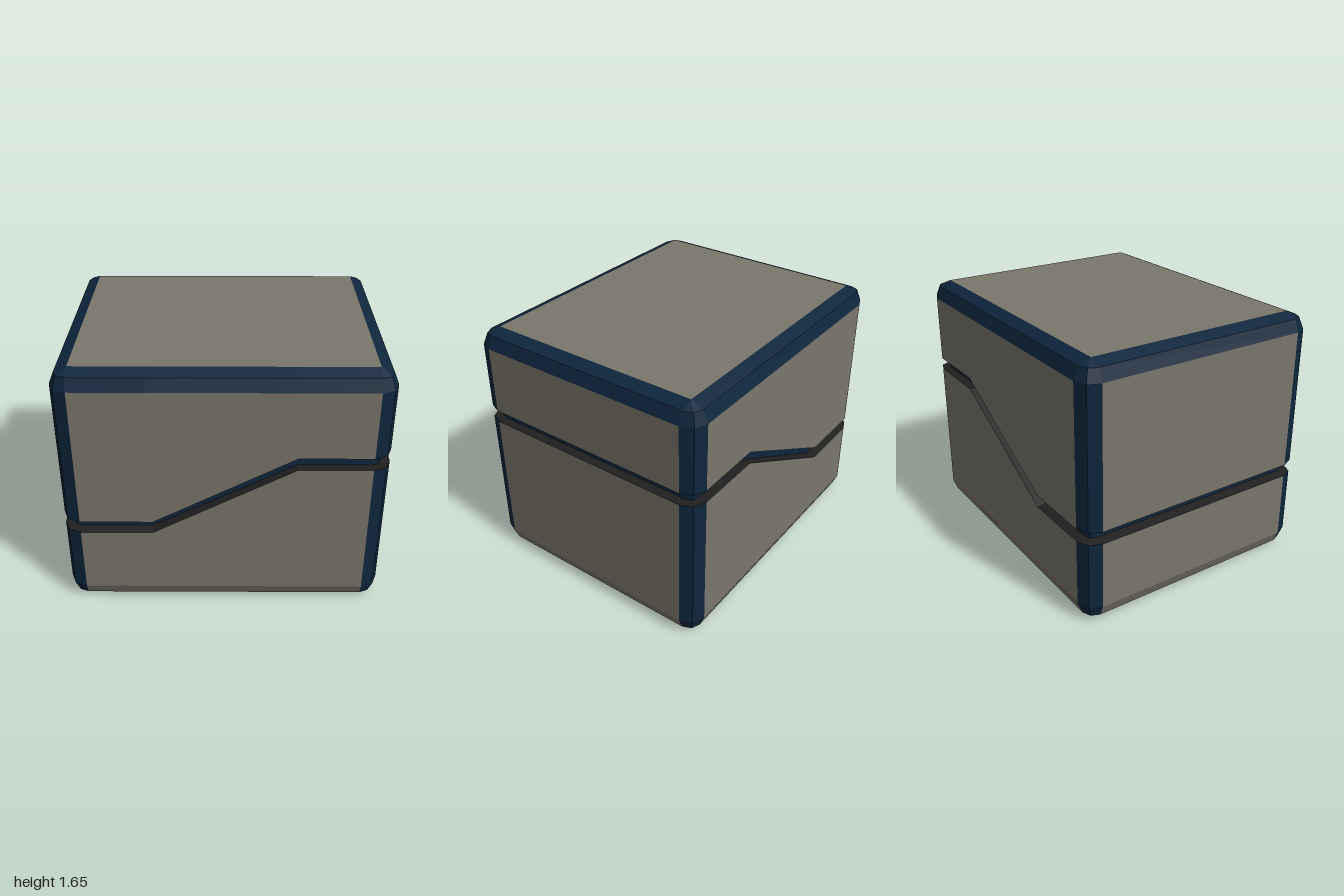
import * as THREE from 'three';

const HX = 0.89, HZ = 0.71, R = 0.11, H = 1.65, KINK = 0.44;
const GREY = 0, NAVY = 1, BLACK = 2;

// Rounded rectangle seen from above: each point is a centre plus a direction to push along
function outline() {
  const pts = [];
  [[1, 1], [-1, 1], [-1, -1], [1, -1]].forEach(([sx, sz], k) => {
    for (let i = 0; i < 3; i++) {
      const a = (k * 2 + i) * Math.PI / 4;
      pts.push({ x: sx * HX, z: sz * HZ, dx: Math.cos(a), dz: Math.sin(a), corner: i < 2, k });
    }
    // Where the groove bends on the front and back
    if (k % 2 === 0) for (const s of [sx, -sx])
      pts.push({ x: s * KINK, z: sz * HZ, dx: 0, dz: sz, corner: false, k });
  });
  return pts;
}
const PTS = outline();

// Groove path: 0 on the low side, 1 on the high side
const rise = p => THREE.MathUtils.clamp((p.x + KINK) / (2 * KINK), 0, 1);
const lowEdge = p => 0.55 + 0.47 * rise(p);
const highEdge = p => 0.63 + 0.47 * rise(p);

// Joins rings of { r, y(p) } from bottom to top; colour(p, band) picks the material of each face
function loft(name, rings, colour, materials, caps = {}) {
  const buckets = [[], [], []];
  const at = (ring, p) => new THREE.Vector3(p.x + p.dx * ring.r, ring.y(p), p.z + p.dz * ring.r);
  const tri = (m, a, b, c) => {
    const area = b.clone().sub(a).cross(c.clone().sub(a)).length();
    if (area > 1e-7) for (const v of [a, b, c]) buckets[m].push(v.x, v.y, v.z);
  };
  PTS.forEach((p, i) => {
    const q = PTS[(i + 1) % PTS.length];
    for (let b = 0; b < rings.length - 1; b++) {
      const m = colour(p, b);
      const a0 = at(rings[b], p), a1 = at(rings[b], q);
      const b0 = at(rings[b + 1], p), b1 = at(rings[b + 1], q);
      tri(m, a0, b0, b1);
      tri(m, a0, b1, a1);
    }
    const first = rings[0], last = rings[rings.length - 1];
    if (caps.bottom) tri(GREY, new THREE.Vector3(0, first.y(p), 0), at(first, p), at(first, q));
    if (caps.top) tri(GREY, new THREE.Vector3(0, last.y(p), 0), at(last, q), at(last, p));
  });
  const geo = new THREE.BufferGeometry();
  geo.setAttribute('position', new THREE.Float32BufferAttribute(buckets.flat(), 3));
  let start = 0;
  buckets.forEach((b, m) => {
    if (b.length) geo.addGroup(start, b.length / 3, m);
    start += b.length / 3;
  });
  geo.computeVertexNormals();
  const mesh = new THREE.Mesh(geo, materials);
  mesh.name = name;
  return mesh;
}

export function createModel() {
  const group = new THREE.Group();
  group.name = 'splitBlock';
  const mat = (name, color) => {
    const m = new THREE.MeshStandardMaterial({ color });
    m.name = name;
    return m;
  };
  const materials = [mat('warmGrey', 0x7a766b), mat('navyTrim', 0x0e263c), mat('blackLedge', 0x202020)];

  const r45 = R * Math.SQRT1_2, drop = R - r45, core = 0.05;

  // Lower half: grey bottom bevel, navy corner posts, black ledge into the groove
  group.add(loft('lowerShell', [
    { r: 0, y: () => 0 },
    { r: r45, y: () => drop },
    { r: R, y: () => R },
    { r: R, y: lowEdge },
    { r: core, y: p => lowEdge(p) + 0.012 * (1 - rise(p)) },
  ], (p, band) => {
    if (band === 3) return BLACK;
    if (!p.corner) return GREY;
    return band === 0 && p.k === 3 ? GREY : NAVY;
  }, materials, { bottom: true }));

  // Upper half: black ledge, navy corner posts and top bevel, grey panels
  group.add(loft('upperShell', [
    { r: core, y: p => highEdge(p) - 0.012 * rise(p) },
    { r: R, y: highEdge },
    { r: R, y: () => H - R },
    { r: r45, y: () => H - drop },
    { r: 0, y: () => H },
  ], (p, band) => {
    if (band === 0) return BLACK;
    return band === 1 && !p.corner ? GREY : NAVY;
  }, materials, { top: true }));

  // Inset core showing at the bottom of the groove
  group.add(loft('grooveCore', [
    { r: core, y: p => lowEdge(p) - 0.02 },
    { r: core, y: p => highEdge(p) + 0.02 },
  ], () => NAVY, materials));

  return group;
}
